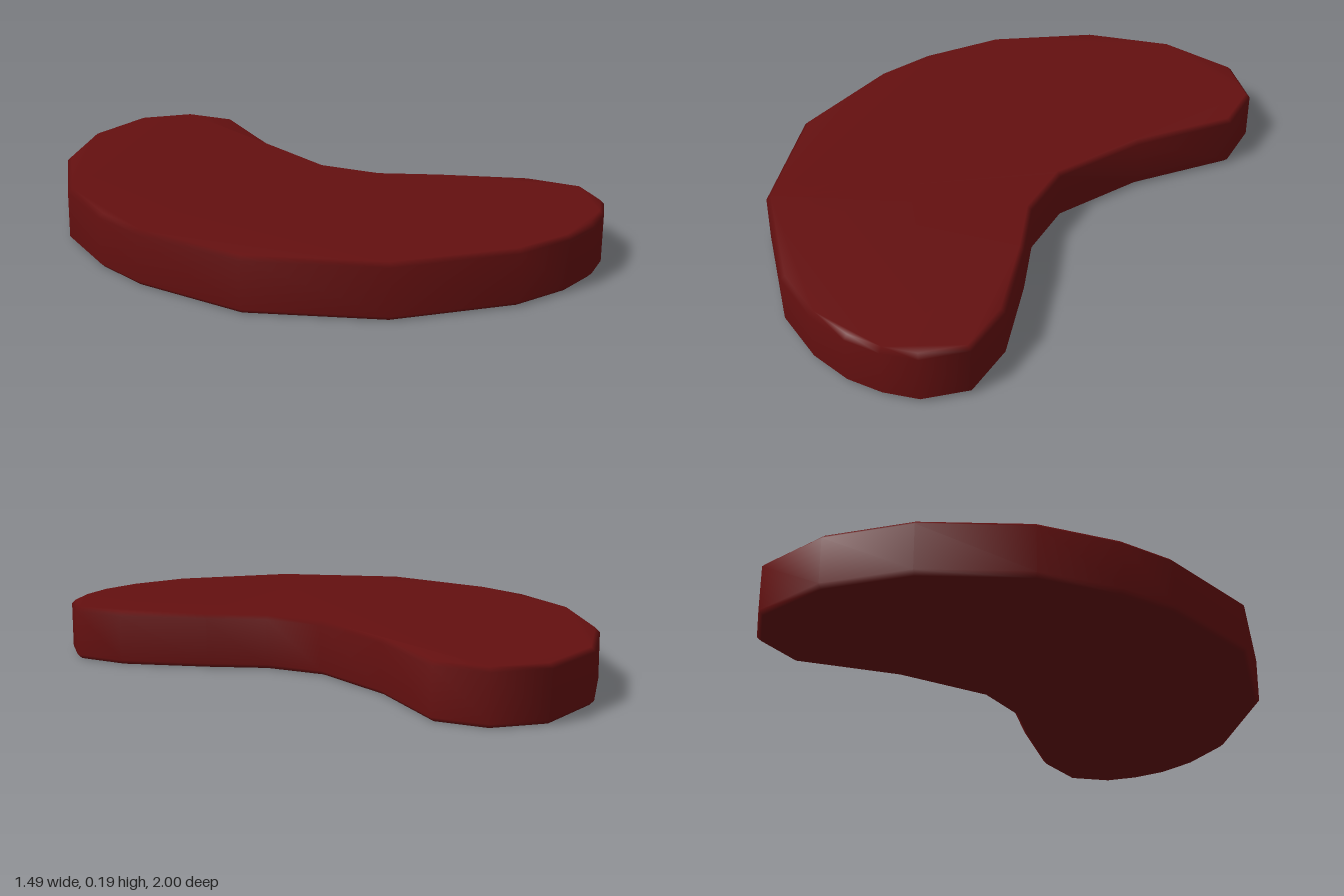
import * as THREE from 'three';
import { mergeVertices } from 'three/addons/utils/BufferGeometryUtils.js';

export function createModel() {
  const group = new THREE.Group();
  group.name = 'kidneyBean';

  const darkRed = new THREE.MeshStandardMaterial({ color: 0x641010 });
  darkRed.name = 'dark red';

  // Curved outline seen from above, as [x, z]
  const outline = [
    [-0.02, -1], [0.17, -0.93], [0.26, -0.76], [0.18, -0.4], [0.18, -0.06],
    [0.28, 0.13], [0.44, 0.27], [0.66, 0.49], [0.745, 0.67], [0.69, 0.82],
    [0.6, 0.9], [0.49, 0.96], [0.34, 0.995], [0.13, 0.99], [-0.27, 0.84],
    [-0.6, 0.52], [-0.73, 0.13], [-0.745, -0.08], [-0.7, -0.37],
    [-0.52, -0.7], [-0.29, -0.91],
  ];
  const shape = new THREE.Shape(outline.map(([x, z]) => new THREE.Vector2(x, -z)));

  // Thick slab with a narrow bevel, kept inside the outline
  const height = 0.19, bevel = 0.015;
  let geometry = new THREE.ExtrudeGeometry(shape, {
    depth: height - 2 * bevel,
    bevelEnabled: true,
    bevelThickness: bevel,
    bevelSize: bevel,
    bevelOffset: -bevel,
    bevelSegments: 1,
  });
  geometry.rotateX(-Math.PI / 2);
  geometry.translate(0, bevel, 0);

  // Weld the corners so that the normals are smooth all round
  geometry.deleteAttribute('uv');
  geometry.deleteAttribute('normal');
  geometry.clearGroups();
  geometry = mergeVertices(geometry, 1e-4);
  geometry.computeVertexNormals();

  const body = new THREE.Mesh(geometry, darkRed);
  body.name = 'beanBody';
  group.add(body);
  return group;
}
